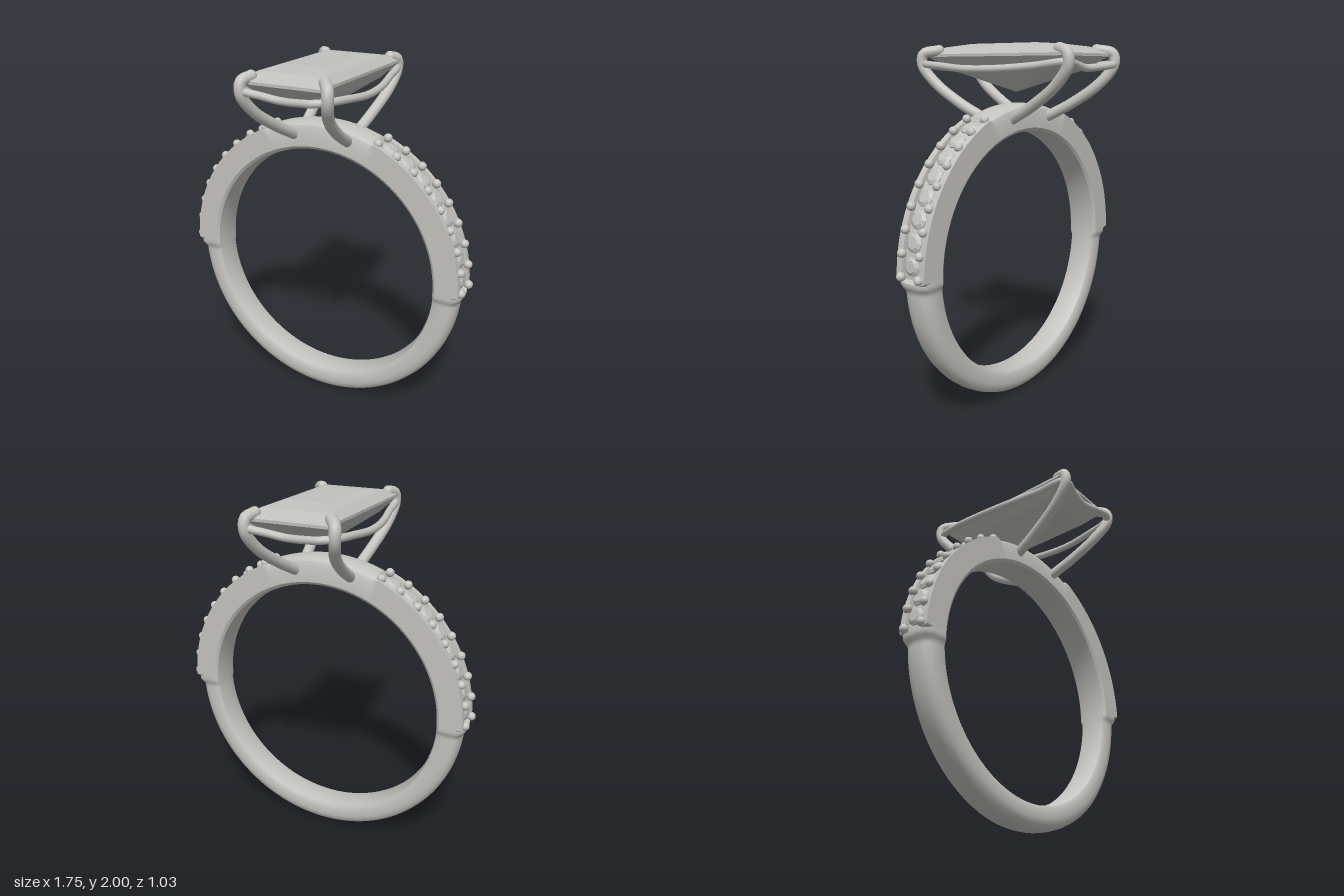
import * as THREE from 'three';
import { toCreasedNormals } from 'three/addons/utils/BufferGeometryUtils.js';

const CENTRE_Y = 0.83;
const V = (p) => new THREE.Vector3(...p);
// half turn about the vertical axis
const turned = ([x, y, z]) => [-x, y, -z];

function indexed(pos, idx) {
  const g = new THREE.BufferGeometry();
  g.setAttribute('position', new THREE.Float32BufferAttribute(pos, 3));
  g.setIndex(idx);
  return g;
}

function flat(geometry) {
  const g = geometry.toNonIndexed();
  g.computeVertexNormals();
  return g;
}

// half sections of the band as [radius, z], from the inner middle to the outer middle
const PLAIN = [[0.69, 0], [0.692, 0.045], [0.70, 0.075], [0.715, 0.084], [0.77, 0.086],
  [0.80, 0.078], [0.82, 0.058], [0.828, 0.03], [0.83, 0]];
const CHANNEL = [[0.69, 0], [0.692, 0.05], [0.70, 0.085], [0.715, 0.097], [0.80, 0.097],
  [0.845, 0.097], [0.845, 0.06], [0.822, 0.058], [0.822, 0]];
const BRIDGE = [[0.69, 0], [0.692, 0.05], [0.70, 0.085], [0.715, 0.097], [0.80, 0.097],
  [0.83, 0.086], [0.845, 0.06], [0.85, 0.03], [0.85, 0]];
// elevation in degrees at which each section holds
const KEYS = [[-91, PLAIN], [-4, PLAIN], [-1, BRIDGE], [0, BRIDGE], [1, CHANNEL],
  [66, CHANNEL], [68, BRIDGE], [91, BRIDGE]];

function sectionAt(elevation) {
  let k = 0;
  while (k < KEYS.length - 2 && elevation > KEYS[k + 1][0]) k++;
  const [e0, a] = KEYS[k], [e1, b] = KEYS[k + 1];
  const t = THREE.MathUtils.smoothstep(elevation, e0, e1);
  const half = a.map((p, i) => [p[0] + (b[i][0] - p[0]) * t, p[1] + (b[i][1] - p[1]) * t]);
  const mirrored = half.slice(1, -1).reverse().map(([r, z]) => [r, -z]);
  return [...half, ...mirrored];
}

function bandGeometry() {
  const pos = [], idx = [], N = 360, M = 16;
  for (let s = 0; s < N; s++) {
    const a = s / N * Math.PI * 2;
    const elevation = THREE.MathUtils.radToDeg(Math.asin(Math.sin(a)));
    for (const [r, z] of sectionAt(elevation)) {
      pos.push(r * Math.cos(a), CENTRE_Y + r * Math.sin(a), z);
    }
    for (let i = 0; i < M; i++) {
      const j = (i + 1) % M, n = (s + 1) % N;
      const p = s * M + i, q = s * M + j, u = n * M + j, v = n * M + i;
      idx.push(p, q, u, p, u, v);
    }
  }
  return toCreasedNormals(indexed(pos, idx), 0.6);
}

// step-cut stone: rectangles [half x, half z, y] from the point up to the table
function stepCutGeometry(levels) {
  const pos = [], idx = [];
  levels.forEach(([x, z, y], l) => {
    pos.push(x, y, z, x, y, -z, -x, y, -z, -x, y, z);
    if (l === 0) return;
    for (let i = 0; i < 4; i++) {
      const j = (i + 1) % 4, a = (l - 1) * 4, b = l * 4;
      idx.push(a + i, a + j, b + j, a + i, b + j, b + i);
    }
  });
  return flat(indexed(pos, idx));
}

export function createModel() {
  const model = new THREE.Group();
  model.name = 'ring';
  const metal = new THREE.MeshStandardMaterial({ color: 0xc4c3bf });
  metal.name = 'metal';
  const gem = new THREE.MeshStandardMaterial({ color: 0xc0c0be });
  gem.name = 'gem';

  const add = (name, geometry, material, parent = model) => {
    const mesh = new THREE.Mesh(geometry, material);
    mesh.name = name;
    parent.add(mesh);
    return mesh;
  };
  const group = (name) => {
    const g = new THREE.Group();
    g.name = name;
    model.add(g);
    return g;
  };

  add('band', bandGeometry(), metal);

  // small stones and their holding beads along both shoulders
  const stones = group('shoulderStones');
  const beads = group('shoulderBeads');
  const profile = [[0, -0.03], [0.05, -0.002], [0.05, 0.004], [0.032, 0.016], [0, 0.016]];
  const stoneGeo = flat(new THREE.LatheGeometry(profile.map((p) => new THREE.Vector2(...p)), 10));
  const beadGeo = new THREE.SphereGeometry(0.024, 14, 10);
  const up = new THREE.Vector3(0, 1, 0);
  for (const side of [-1, 1]) {
    const radial = (deg) => {
      const a = THREE.MathUtils.degToRad(deg);
      return new THREE.Vector3(side * Math.cos(a), Math.sin(a), 0);
    };
    for (let k = 0; k < 8; k++) {
      const d = radial(6 + 8 * k);
      const stone = add('shoulderStone', stoneGeo, gem, stones);
      stone.position.copy(d).multiplyScalar(0.832);
      stone.position.y += CENTRE_Y;
      stone.quaternion.setFromUnitVectors(up, d);
    }
    for (let k = 0; k < 9; k++) {
      for (const z of [-0.062, 0.062]) {
        const bead = add('shoulderBead', beadGeo, metal, beads);
        bead.position.copy(radial(2 + 8 * k)).multiplyScalar(0.85);
        bead.position.y += CENTRE_Y;
        bead.position.z = z;
      }
    }
  }

  // large rectangular stone
  add('centreStone', stepCutGeometry([
    [0, 0, 1.74], [0.165, 0.34, 1.86], [0.225, 0.452, 1.93], [0.225, 0.452, 1.945],
    [0.18, 0.36, 1.982], [0.115, 0.22, 2], [0, 0, 2],
  ]), gem);

  // four claws, the back pair being the front pair turned half round
  const claws = group('claws');
  const clawPaths = [
    [[-0.145, 1.6, 0.085], [-0.165, 1.68, 0.24], [-0.19, 1.785, 0.4], [-0.205, 1.885, 0.482],
      [-0.205, 1.945, 0.475], [-0.185, 1.965, 0.415]],
    [[0.18, 1.6, 0.085], [0.205, 1.68, 0.24], [0.235, 1.785, 0.39], [0.265, 1.885, 0.462],
      [0.262, 1.945, 0.455], [0.21, 1.965, 0.385]],
  ];
  for (const path of [...clawPaths, ...clawPaths.map((p) => p.map(turned))]) {
    const curve = new THREE.CatmullRomCurve3(path.map(V));
    add('claw', new THREE.TubeGeometry(curve, 40, 0.03, 14), metal, claws);
    for (const end of [path[0], path[path.length - 1]]) {
      add('clawEnd', new THREE.SphereGeometry(0.03, 14, 10), metal, claws).position.set(...end);
    }
  }

  // wavy wire linking the claws below the stone
  const half = [[-0.2, 1.9, 0.475], [-0.1, 1.885, 0.465], [0, 1.87, 0.455], [0.1, 1.875, 0.475],
    [0.2, 1.885, 0.49], [0.262, 1.89, 0.45], [0.293, 1.88, 0.3], [0.303, 1.865, 0.12],
    [0.285, 1.865, -0.08], [0.24, 1.88, -0.3]];
  const loop = new THREE.CatmullRomCurve3([...half, ...half.map(turned)].map(V), true);
  add('galleryWire', new THREE.TubeGeometry(loop, 160, 0.02, 12, true), metal);

  return model;
}
